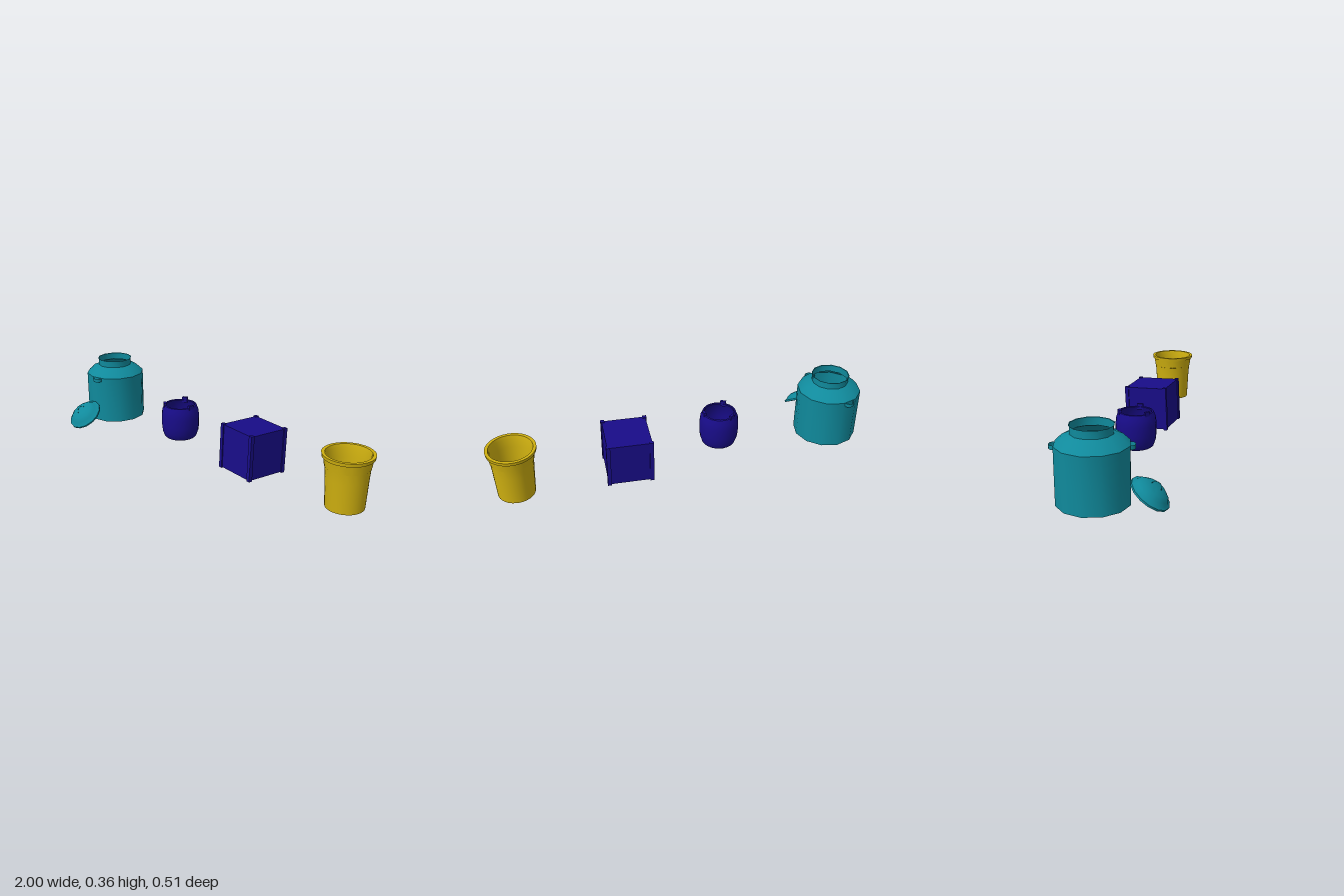
import * as THREE from 'three';
import { toCreasedNormals } from 'three/addons/utils/BufferGeometryUtils.js';

const paint = (color) => new THREE.MeshStandardMaterial({ color, side: THREE.DoubleSide });

function addMesh(parent, name, geometry, material, x = 0, y = 0, z = 0) {
  const mesh = new THREE.Mesh(geometry, material);
  mesh.name = name;
  mesh.position.set(x, y, z);
  parent.add(mesh);
  return mesh;
}

// Turned part from [radius, height] pairs, with hard edges kept sharp
function turned(profile, sides) {
  const points = profile.map(([r, y]) => new THREE.Vector2(r, y));
  return toCreasedNormals(new THREE.LatheGeometry(points, sides), 0.56);
}

function addGroup(parent, name, x, y, z) {
  const group = new THREE.Group();
  group.name = name;
  group.position.set(x, y, z);
  parent.add(group);
  return group;
}

export function createModel() {
  const model = new THREE.Group();
  const teal = paint(0x108a9c);
  const blue = paint(0x180c88);
  const yellow = paint(0xcfb010);

  // Wide metal can with an open neck
  const can = addGroup(model, 'can', -0.834, 0, -0.078);
  addMesh(can, 'canBody', turned([
    [0, 0.013], [0.167, 0.013], [0.167, 0.28], [0.135, 0.311], [0.096, 0.328],
    [0.096, 0.365], [0.1, 0.366],
  ], 12), teal);

  // Bent strip handles on the shoulder
  for (const s of [1, -1]) {
    addMesh(can, 'canHandle', new THREE.CylinderGeometry(0.028, 0.028, 0.02, 16, 1, true),
      teal, s * 0.037, 0.268, s * 0.153);
  }

  // Domed lid leaning against the can
  const lid = addGroup(model, 'lid', -0.815, 0.067, 0.17);
  lid.rotation.x = 0.635;
  addMesh(lid, 'lidDome', turned([
    [0, 0.036], [0.055, 0.03], [0.086, 0.004], [0.1, -0.006], [0.1, 0.003],
    [0.09, 0.008], [0.078, 0.022], [0.057, 0.037], [0.03, 0.043], [0, 0.045],
  ], 14), teal);
  const grip = addMesh(lid, 'lidHandle',
    new THREE.TorusGeometry(0.025, 0.0012, 5, 14, Math.PI), teal, 0, 0.041, 0);
  grip.rotation.y = Math.PI / 2;

  // Small open barrel with three lugs on the rim
  const barrel = addGroup(model, 'barrel', -0.213, 0, -0.053);
  addMesh(barrel, 'barrelBody', turned([
    [0, 0.052], [0.08, 0.052], [0.089, 0.06], [0.099, 0.09], [0.103, 0.125],
    [0.103, 0.175], [0.099, 0.21], [0.088, 0.236], [0.08, 0.238], [0.077, 0.234],
    [0.091, 0.205], [0.095, 0.15], [0.09, 0.09], [0.078, 0.06], [0, 0.06],
  ], 24), blue);
  for (const degrees of [0, 125, 240]) {
    const a = THREE.MathUtils.degToRad(degrees);
    const lug = addMesh(barrel, 'barrelLug', new THREE.BoxGeometry(0.014, 0.03, 0.03),
      blue, 0.084 * Math.cos(a), 0.235, 0.084 * Math.sin(a));
    lug.rotation.y = -a;
  }

  // Crate, slightly turned and tilted, with a post at each corner
  const crate = addGroup(model, 'crate', 0.3, 0.127, -0.09);
  crate.rotation.set(-0.043, -0.105, 0);
  addMesh(crate, 'crateBody', new THREE.BoxGeometry(0.227, 0.232, 0.227), blue);
  for (const x of [-1, 1]) {
    for (const z of [-1, 1]) {
      addMesh(crate, 'cratePost', new THREE.BoxGeometry(0.02, 0.24, 0.02),
        blue, x * 0.109, 0, z * 0.109);
    }
  }

  // Tapered bucket with a stepped wall and a thick rim
  const bucket = addGroup(model, 'bucket', 0.876, 0, -0.102);
  addMesh(bucket, 'bucketBody', turned([
    [0, 0.013], [0.094, 0.013], [0.102, 0.165], [0.106, 0.215], [0.108, 0.216],
    [0.115, 0.262], [0.122, 0.263], [0.124, 0.28], [0.108, 0.28], [0.104, 0.262],
    [0.101, 0.215], [0.098, 0.165], [0.09, 0.02], [0, 0.02],
  ], 32), yellow);

  return model;
}
